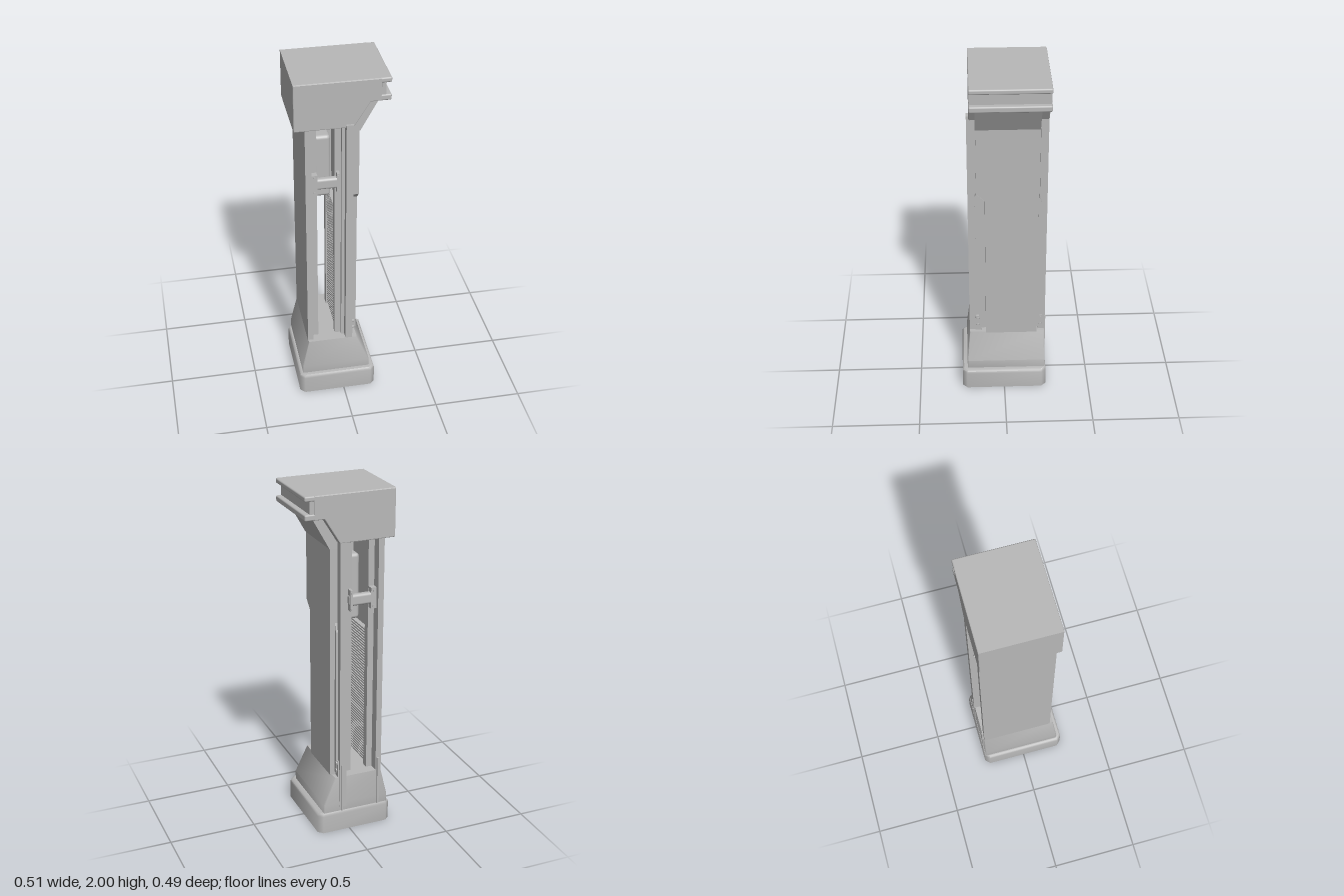
import * as THREE from 'three';
import { toCreasedNormals } from 'three/addons/utils/BufferGeometryUtils.js';
import { RoundedBoxGeometry } from 'three/addons/geometries/RoundedBoxGeometry.js';

// Double sided because the plinth is hollow and open below
const stone = new THREE.MeshStandardMaterial({ color: 0xb8b8b8, side: THREE.DoubleSide });
stone.name = 'plain grey';

function add(parent, name, geometry) {
  const mesh = new THREE.Mesh(geometry, stone);
  mesh.name = name;
  parent.add(mesh);
  return mesh;
}

// Box given by its limits on each axis
function box(parent, name, x0, x1, y0, y1, z0, z1) {
  const g = new THREE.BoxGeometry(x1 - x0, y1 - y0, z1 - z0);
  g.translate((x0 + x1) / 2, (y0 + y1) / 2, (z0 + z1) / 2);
  return add(parent, name, g);
}

// Rectangle with cut corners at height y, counterclockwise from above
function ring(x0, x1, z0, z1, y, c) {
  return [[x0 + c, z1], [x1 - c, z1], [x1, z1 - c], [x1, z0 + c],
    [x1 - c, z0], [x0 + c, z0], [x0, z0 + c], [x0, z1 - c]]
    .map(([x, z]) => new THREE.Vector3(x, y, z));
}

// Skin through the rings, closed on the last one
function loft(rings) {
  const pts = [];
  for (let r = 0; r < rings.length - 1; r++) {
    const a = rings[r], b = rings[r + 1];
    for (let i = 0; i < a.length; i++) {
      const j = (i + 1) % a.length;
      pts.push(a[i], a[j], b[j], a[i], b[j], b[i]);
    }
  }
  const top = rings[rings.length - 1];
  for (let i = 1; i < top.length - 1; i++) pts.push(top[0], top[i], top[i + 1]);
  return toCreasedNormals(new THREE.BufferGeometry().setFromPoints(pts), 0.85);
}

// Outline in x,y pushed from z0 to z1
function prism(points, z0, z1, bevel = 0) {
  const shape = new THREE.Shape(points.map(([x, y]) => new THREE.Vector2(x, y)));
  const g = new THREE.ExtrudeGeometry(shape, {
    depth: z1 - z0 - 2 * bevel, bevelEnabled: bevel > 0,
    bevelThickness: bevel, bevelSize: bevel, bevelOffset: -bevel, bevelSegments: 2,
  });
  g.translate(0, 0, z0 + bevel);
  return g;
}

// Outline in z,y pushed from x0 to x1
function sidePrism(points, x0, x1) {
  const g = prism(points.map(([z, y]) => [-z, y]), x0, x1);
  return g.rotateY(Math.PI / 2);
}

export function createModel() {
  const model = new THREE.Group();
  model.name = 'pillar';

  // Hollow plinth and tapered foot
  add(model, 'plinth', loft([
    ring(-0.24, 0.17, -0.228, 0.23, 0.11, 0.02),
    ring(-0.24, 0.17, -0.228, 0.23, 0, 0.02),
    ring(-0.258, 0.188, -0.247, 0.247, 0, 0.027),
    ring(-0.258, 0.188, -0.247, 0.247, 0.105, 0.027),
    ring(-0.255, 0.185, -0.245, 0.245, 0.117, 0.026),
    ring(-0.247, 0.177, -0.242, 0.238, 0.125, 0.024),
    ring(-0.238, 0.155, -0.24, 0.217, 0.125, 0.004),
    ring(-0.238, 0.155, -0.24, 0.217, 0.175, 0.004),
    ring(-0.198, 0.085, -0.237, 0.2, 0.34, 0.003),
  ]));

  // Shaft walls, open from front to back
  const shaft = new THREE.Group();
  shaft.name = 'shaft';
  model.add(shaft);
  box(shaft, 'rightWall', -0.2, -0.167, 0.1, 1.75, -0.235, 0.18);
  box(shaft, 'leftWall', 0, 0.045, 0.1, 1.75, -0.2, 0.16);
  for (const [z0, z1, name] of [[0.16, 0.2, 'front'], [-0.242, -0.2, 'back']]) {
    box(shaft, name + 'Post', 0.018, 0.058, 0.15, 1.75, z0, z1);
  }

  // Guide rails on the inner faces of both walls
  for (const [z0, z1] of [[0.1, 0.14], [-0.18, -0.14]]) {
    box(shaft, 'rightGuideRail', -0.17, -0.132, 0.1, 1.75, z0, z1);
    box(shaft, 'leftGuideRail', -0.035, 0.002, 0.1, 1.75, z0, z1);
  }

  // Ribbed lining
  for (let i = 0; i < 50; i++) {
    const y = 0.36 + i * 0.0165;
    box(shaft, 'rightRib', -0.168, -0.14, y, y + 0.009, -0.14, 0.1);
    box(shaft, 'leftRib', -0.027, 0.001, y, y + 0.009, -0.14, 0.1);
  }

  // Outer side panel, cut back along its lower front edge
  add(shaft, 'sidePanel', sidePrism(
    [[0.105, 0.34], [0.105, 1.25], [0.152, 1.295], [0.152, 1.73], [-0.192, 1.73], [-0.192, 0.34]], 0.045, 0.097));
  add(shaft, 'frontTrim', sidePrism(
    [[0.145, 0.36], [0.145, 0.42], [0.16, 0.8], [0.16, 1.26], [0.152, 1.275], [0.112, 1.235], [0.112, 0.36]],
    0.04, 0.065));
  add(shaft, 'backTrim', sidePrism(
    [[-0.19, 0.36], [-0.195, 1.27], [-0.21, 1.22], [-0.21, 0.36]], 0.04, 0.07));

  // Small bolted brackets at the foot of the panel
  for (const z of [0.152, -0.214]) {
    add(shaft, 'footBracket', sidePrism(
      [[z + 0.016, 0.34], [z + 0.012, 0.44], [z - 0.012, 0.44], [z - 0.022, 0.34]], 0.05, 0.066));
    for (const y of [0.38, 0.425]) {
      const bolt = new THREE.CylinderGeometry(0.008, 0.008, 0.01, 10).rotateZ(Math.PI / 2);
      add(shaft, 'bolt', bolt.translate(0.069, y, z));
    }
  }

  // Thin seams running down the back of the foot
  for (const x of [-0.18, 0.045]) box(model, 'backSeam', x - 0.006, x + 0.006, 0.125, 0.42, -0.246, -0.23);

  // Sliding weight with its crossbars
  const slider = new THREE.Group();
  slider.name = 'slider';
  model.add(slider);
  add(slider, 'weight', new RoundedBoxGeometry(0.095, 0.38, 0.1, 3, 0.02).translate(-0.083, 1.413, -0.02));
  for (const z of [0.155, -0.195]) {
    add(slider, 'crossbar', new RoundedBoxGeometry(0.15, 0.065, 0.04, 3, 0.015).translate(-0.083, 1.39, z));
    for (const [x, w] of [[-0.15, 0.016], [-0.02, 0.008]]) {
      box(slider, 'barMount', x - w, x + w, 1.33, 1.45, z - 0.02, z + 0.02);
      for (const y of [1.345, 1.435]) {
        const stud = new THREE.CylinderGeometry(0.007, 0.007, 0.054, 8).rotateX(Math.PI / 2);
        add(slider, 'stud', stud.translate(x, y, z));
      }
    }
  }

  // Capital with a sloped underside on one side
  const cap = new THREE.Group();
  cap.name = 'capital';
  model.add(cap);
  add(cap, 'capBlock', prism(
    [[-0.258, 1.73], [0.06, 1.73], [0.147, 1.87], [0.205, 1.87], [0.205, 2], [-0.258, 2]], -0.243, 0.187, 0.005));
  add(cap, 'capBrace', prism(
    [[0.04, 1.69], [0.1, 1.69], [0.203, 1.875], [0.04, 1.875]], -0.195, 0.155));

  // Grooved rim
  box(cap, 'rimCore', 0.19, 0.228, 1.88, 1.99, -0.238, 0.182);
  for (const [y0, y1] of [[1.972, 2], [1.87, 1.904]]) {
    const rim = new RoundedBoxGeometry(0.08, y1 - y0, 0.43, 2, 0.008);
    add(cap, 'rim', rim.translate(0.217, (y0 + y1) / 2, -0.028));
  }
  return model;
}
